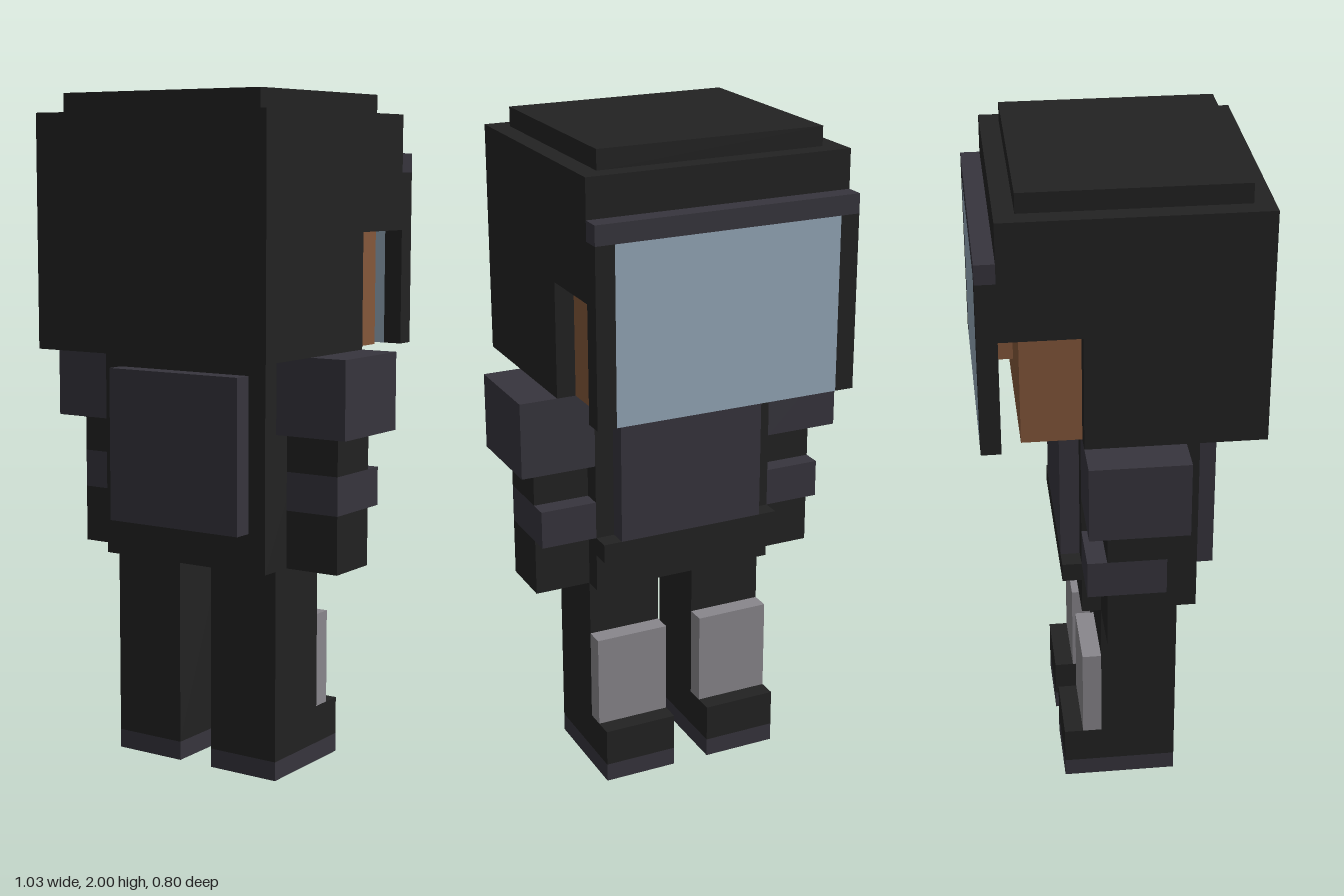
import * as THREE from 'three';

const U = 2 / 35; // one block

const mat = (name, color) => {
  const m = new THREE.MeshStandardMaterial({ color });
  m.name = name;
  return m;
};

export function createModel() {
  const black = mat('black cloth', 0x222222);
  const grey = mat('dark grey armour', 0x37353d);
  const skin = mat('skin', 0x85583b);
  const glass = mat('visor glass', 0x95a8b8);
  const pad = mat('light grey pad', 0x89878c);

  const group = (name) => {
    const g = new THREE.Group();
    g.name = name;
    return g;
  };
  // Box from ranges given in blocks
  const box = (parent, name, material, [x0, x1], [y0, y1], [z0, z1]) => {
    const geo = new THREE.BoxGeometry((x1 - x0) * U, (y1 - y0) * U, (z1 - z0) * U);
    const mesh = new THREE.Mesh(geo, material);
    mesh.position.set((x0 + x1) * U / 2, (y0 + y1) * U / 2, (z0 + z1) * U / 2);
    mesh.name = name;
    parent.add(mesh);
  };
  // Box mirrored onto both sides
  const pair = (parent, name, material, [x0, x1], y, z) => {
    box(parent, name + 'Left', material, [x0, x1], y, z);
    box(parent, name + 'Right', material, [-x1, -x0], y, z);
  };

  const model = group('figure');

  // Helmet and face
  const head = group('head');
  box(head, 'helmetTop', black, [-6, 6], [34, 35], [-5, 6]);
  box(head, 'helmetUpper', black, [-7, 7], [28, 34], [-6, 7]);
  box(head, 'helmetLower', black, [-7, 7], [22, 28], [-2, 7]);
  box(head, 'face', skin, [-6, 6], [22, 28], [-5, -2]);
  box(head, 'nose', skin, [-1, 1], [24, 26], [-6, -5]);

  // Visor in front of the face
  box(head, 'visorBar', grey, [-7, 7], [31, 32], [-7, -6]);
  box(head, 'visorGlass', glass, [-6, 6], [22, 31], [-7, -6]);
  pair(head, 'visorFrame', black, [6, 7], [22, 31], [-7, -6]);

  // Torso, plates and belt
  const body = group('body');
  box(body, 'torso', black, [-5, 5], [11, 22], [-2, 4]);
  box(body, 'backPlate', grey, [-4, 4], [13, 21], [4, 5]);
  box(body, 'chestPlate', grey, [-4, 4], [14, 21], [-3, -2]);
  box(body, 'belt', black, [-5, 5], [13, 14], [-3, -2]);
  box(body, 'neckOpening', skin, [-1, 1], [21, 22], [-2.1, -2]);

  // Arms
  const arms = group('arms');
  pair(arms, 'shoulder', grey, [5, 9], [18, 22], [-2, 3]);
  pair(arms, 'upperArm', black, [5, 8], [16, 18], [-1, 2]);
  pair(arms, 'elbowBand', grey, [5, 8], [14, 16], [-2, 2]);
  pair(arms, 'forearm', black, [5, 8], [11, 14], [-1, 2]);

  // Legs
  const legs = group('legs');
  pair(legs, 'leg', black, [1, 5], [1, 11], [-1, 3]);
  pair(legs, 'boot', black, [1, 5], [1, 3], [-3, -1]);
  pair(legs, 'sole', grey, [1, 5], [0, 1], [-3, 3]);
  pair(legs, 'shinPad', pad, [1, 5], [3, 8], [-2, -1]);

  model.add(head, body, arms, legs);
  return model;
}
